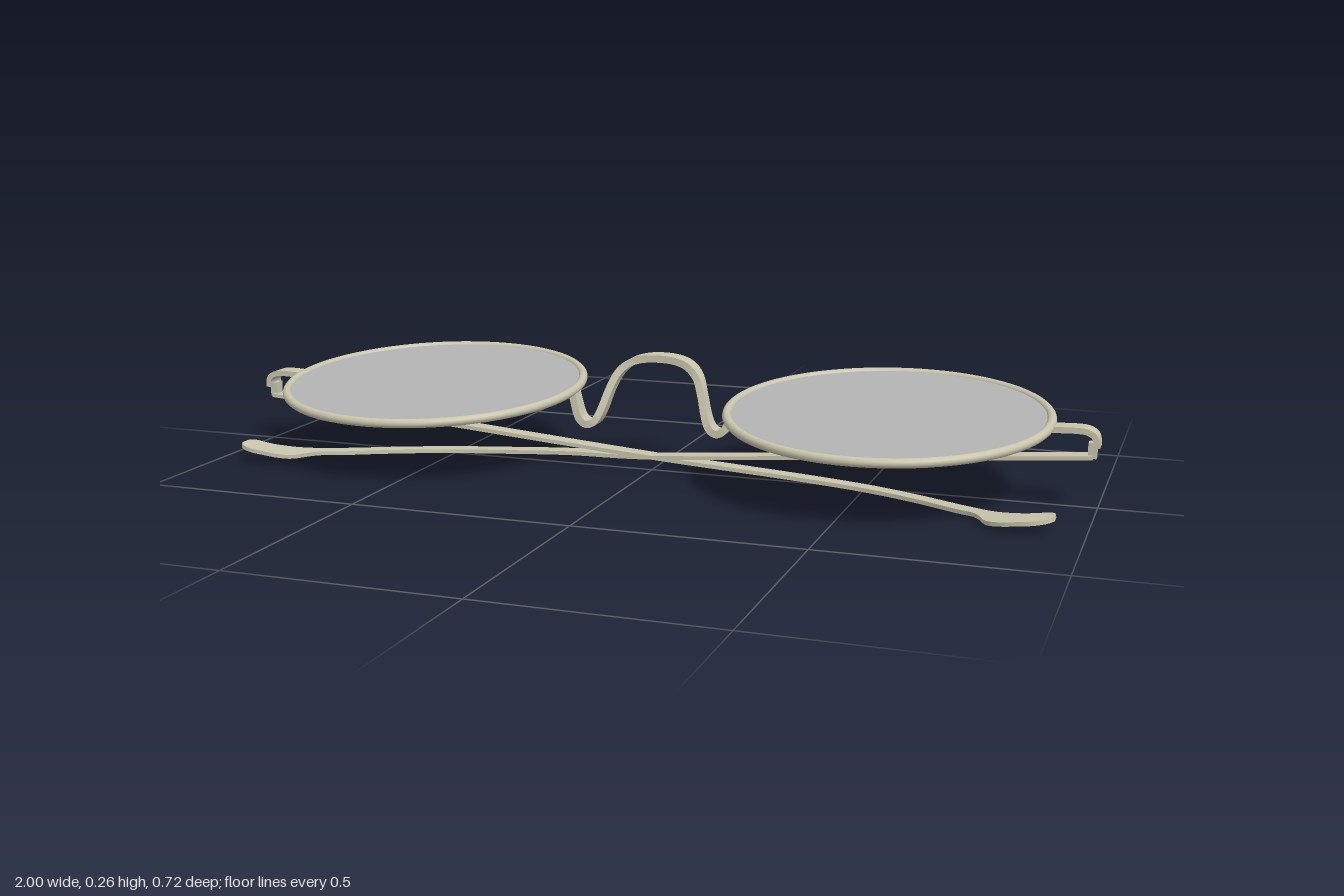
import * as THREE from 'three';
import { toCreasedNormals } from 'three/addons/utils/BufferGeometryUtils.js';

const frameMat = new THREE.MeshStandardMaterial({ color: 0xc8c4ac });
frameMat.name = 'pale metal';
const lensMat = new THREE.MeshStandardMaterial({ color: 0xb2b2b2 });
lensMat.name = 'grey lens';

// Flat bar swept between two edges; rows are [x, y, zBack, zFront]
function ribbon(rows, thickness, steps) {
  const edge = (k) => new THREE.CatmullRomCurve3(
    rows.map((r) => new THREE.Vector3(r[0], r[1], r[k])), false, 'catmullrom', 0.5);
  const back = edge(2), front = edge(3);
  const mid = (t) => back.getPoint(t).add(front.getPoint(t)).multiplyScalar(0.5);
  const pos = [], idx = [];
  for (let i = 0; i <= steps; i++) {
    const t = i / steps;
    const a = back.getPoint(t), b = front.getPoint(t);
    const tangent = mid(Math.min(1, t + 0.005)).sub(mid(Math.max(0, t - 0.005)));
    const n = tangent.cross(b.clone().sub(a)).normalize().multiplyScalar(thickness / 2);
    for (const p of [a.clone().sub(n), b.clone().sub(n), b.clone().add(n), a.clone().add(n)]) {
      pos.push(p.x, p.y, p.z);
    }
    if (i === steps) continue;
    for (let k = 0; k < 4; k++) {
      const p = i * 4 + k, q = i * 4 + (k + 1) % 4;
      idx.push(p, q, q + 4, p, q + 4, p + 4);
    }
  }
  const e = steps * 4;
  idx.push(0, 2, 1, 0, 3, 2, e, e + 1, e + 2, e, e + 2, e + 3);
  const g = new THREE.BufferGeometry();
  g.setAttribute('position', new THREE.Float32BufferAttribute(pos, 3));
  g.setIndex(idx);
  return toCreasedNormals(g, 0.7);
}

function add(parent, name, geometry, material) {
  const mesh = new THREE.Mesh(geometry, material);
  mesh.name = name;
  parent.add(mesh);
  return mesh;
}

// Folded temple: hinge at -x, paddle tip at +x
const templeRows = [
  [-0.985, 0.115, -0.02, 0.022], [-0.7, 0.091, -0.024, 0.016], [-0.35, 0.061, -0.03, 0.009],
  [0, 0.032, -0.035, 0.003], [0.2, 0.019, -0.036, 0.001], [0.35, 0.012, -0.027, 0.009],
  [0.5, 0.008, 0.0, 0.036], [0.62, 0.008, 0.048, 0.085], [0.72, 0.010, 0.105, 0.145],
  [0.77, 0.013, 0.138, 0.18], [0.8, 0.016, 0.16, 0.238], [0.83, 0.02, 0.178, 0.257],
  [0.87, 0.026, 0.194, 0.264], [0.9, 0.03, 0.196, 0.264], [0.925, 0.034, 0.197, 0.254],
  [0.937, 0.036, 0.21, 0.238],
];

// Half of the bridge, from a rim to the crown
const bridgeHalf = [
  [0.195, 0.17, -0.03, 0.005], [0.183, 0.125, -0.03, 0.008], [0.172, 0.107, -0.03, 0.01],
  [0.156, 0.1, -0.03, 0.01], [0.139, 0.109, -0.031, 0.008], [0.126, 0.135, -0.034, 0.0],
  [0.112, 0.18, -0.046, -0.016], [0.096, 0.217, -0.066, -0.03], [0.072, 0.24, -0.08, -0.039],
  [0.04, 0.251, -0.087, -0.044],
];

const endRows = [
  [0.895, 0.17, -0.022, 0.024], [0.95, 0.172, -0.022, 0.024], [0.975, 0.169, -0.022, 0.024],
  [0.99, 0.158, -0.022, 0.024], [0.9935, 0.136, -0.022, 0.024],
];

export function createModel() {
  const model = new THREE.Group();
  model.name = 'foldedGlasses';
  const flip = (rows, s) => rows.map(([x, y, a, b]) => [x * s, y, a, b]);

  for (const s of [1, -1]) {
    const side = s > 0 ? 'left' : 'right';

    // Round rim and lens, tilted slightly towards the front
    const eye = new THREE.Group();
    eye.name = side + 'Eye';
    eye.position.set(0.545 * s, 0.175, 0);
    eye.rotation.x = 0.078;
    const rim = new THREE.TorusGeometry(0.35, 0.0105, 12, 72).rotateX(Math.PI / 2);
    add(eye, side + 'Rim', rim, frameMat);
    add(eye, side + 'Lens', new THREE.CylinderGeometry(0.346, 0.346, 0.008, 72), lensMat);
    model.add(eye);

    // End piece bent down over the hinge
    add(model, side + 'EndPiece', ribbon(flip(endRows, s), 0.013, 16), frameMat);
    add(model, side + 'Hinge', new THREE.BoxGeometry(0.018, 0.034, 0.024), frameMat)
      .position.set(0.984 * s, 0.129, 0.002);

    // Temple folded across, one resting on the other
    const lift = s > 0 ? 0 : 0.007;
    const rows = templeRows.map(([x, y, a, b]) => [x * s, y + (x > 0.1 ? lift : 0), a, b]);
    add(model, (s > 0 ? 'right' : 'left') + 'Temple', ribbon(rows, 0.009, 90), frameMat);
  }

  // Arched bridge with dips beside the rims
  const bridge = [...bridgeHalf, [0, 0.254, -0.09, -0.045], ...flip(bridgeHalf, -1).reverse()];
  add(model, 'bridge', ribbon(bridge, 0.017, 80), frameMat);
  return model;
}
